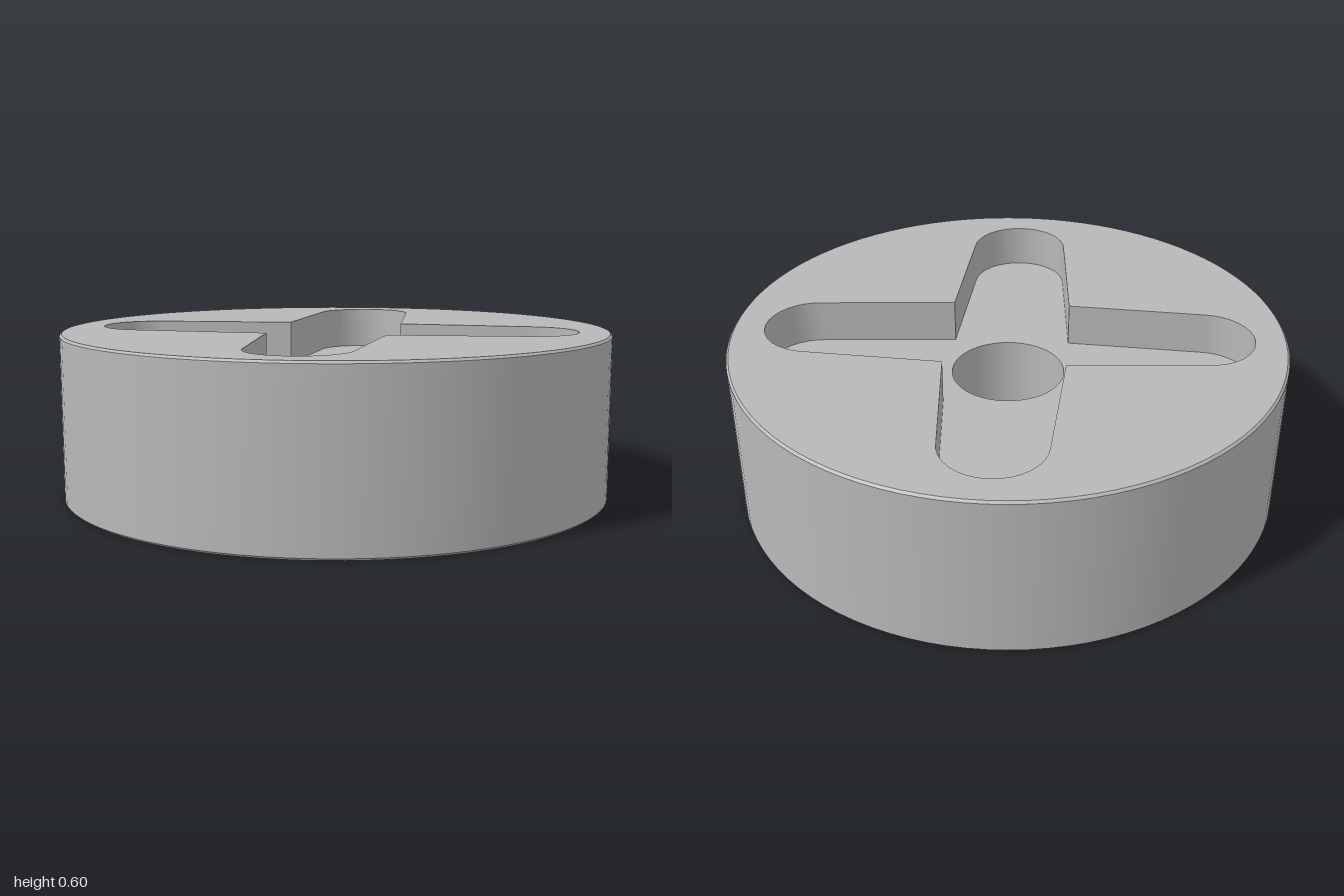
import * as THREE from 'three';
import { toCreasedNormals } from 'three/addons/utils/BufferGeometryUtils.js';

const HEIGHT = 0.6, FLOOR = 0.44, POCKET_TOP = 0.5, CHAMFER = 0.008;

// Counter-clockwise circle, as 2D points
function circle(r, cx = 0, cy = 0, n = 48) {
  return Array.from({ length: n }, (_, i) => {
    const a = (i / n) * Math.PI * 2;
    return new THREE.Vector2(cx + r * Math.cos(a), cy + r * Math.sin(a));
  });
}

// Cross outline: four tapered arms with round tips, meeting in sharp corners
function crossOutline() {
  const points = [];
  for (let arm = 0; arm < 4; arm++) {
    const local = [new THREE.Vector2(0.215, -0.215)];
    for (let i = 0; i <= 16; i++) {
      const a = -Math.PI / 2 + (i / 16) * Math.PI;
      local.push(new THREE.Vector2(0.705 + 0.18 * Math.cos(a), 0.18 * Math.sin(a)));
    }
    const origin = new THREE.Vector2();
    points.push(...local.map(p => p.rotateAround(origin, arm * Math.PI / 2)));
  }
  return points;
}

// Flat horizontal face with holes
function face(outline, holes, y, down = false) {
  const shape = new THREE.Shape(outline);
  shape.holes = holes.map(h => new THREE.Path(h));
  const geo = new THREE.ShapeGeometry(shape);
  geo.rotateX(down ? Math.PI / 2 : -Math.PI / 2);
  return geo.translate(0, y, 0);
}

// Wall through a stack of [outline, y] rings; inward turns it to face the inside
function wall(rings, inward = false) {
  const pos = [];
  const n = rings[0][0].length;
  for (let k = 0; k < rings.length - 1; k++) {
    for (let i = 0; i < n; i++) {
      const at = (ring, j) => [ring[0][j % n].x, ring[1], -ring[0][j % n].y];
      const a = at(rings[k], i), b = at(rings[k], i + 1);
      const c = at(rings[k + 1], i + 1), d = at(rings[k + 1], i);
      const corners = inward ? [a, c, b, a, d, c] : [a, b, c, a, c, d];
      pos.push(...corners.flat());
    }
  }
  const geo = new THREE.BufferGeometry();
  geo.setAttribute('position', new THREE.Float32BufferAttribute(pos, 3));
  return toCreasedNormals(geo, 0.5);
}

export function createModel() {
  const group = new THREE.Group();
  const grey = new THREE.MeshStandardMaterial({ color: 0xb8b8b8, side: THREE.DoubleSide });
  grey.name = 'grey plastic';
  const add = (name, geometry) => {
    const mesh = new THREE.Mesh(geometry, grey);
    mesh.name = name;
    group.add(mesh);
  };

  const rim = circle(1, 0, 0, 96);
  const rimInner = circle(1 - CHAMFER, 0, 0, 96);
  const bore = circle(0.205);
  const cross = crossOutline();
  // Pockets lie on the diagonals between the arms
  const pockets = [0, 1, 2, 3].map(i => {
    const a = Math.PI / 4 + i * Math.PI / 2;
    return circle(0.163, 0.7 * Math.cos(a), 0.7 * Math.sin(a));
  });

  // Disc body
  add('outerWall', wall([
    [rimInner, 0], [rim, CHAMFER], [rim, HEIGHT - CHAMFER], [rimInner, HEIGHT],
  ]));
  add('topFace', face(rimInner, [cross], HEIGHT));
  add('bottomFace', face(rimInner, [bore, ...pockets], 0, true));

  // Cross-shaped recess and the bore through its floor
  add('recessWall', wall([[cross, FLOOR], [cross, HEIGHT]], true));
  add('recessFloor', face(cross, [bore], FLOOR));
  add('boreWall', wall([[bore, 0], [bore, FLOOR]], true));

  // Blind round pockets in the underside
  pockets.forEach(p => {
    add('pocketWall', wall([[p, 0], [p, POCKET_TOP]], true));
    add('pocketCeiling', face(p, [], POCKET_TOP, true));
  });
  return group;
}
